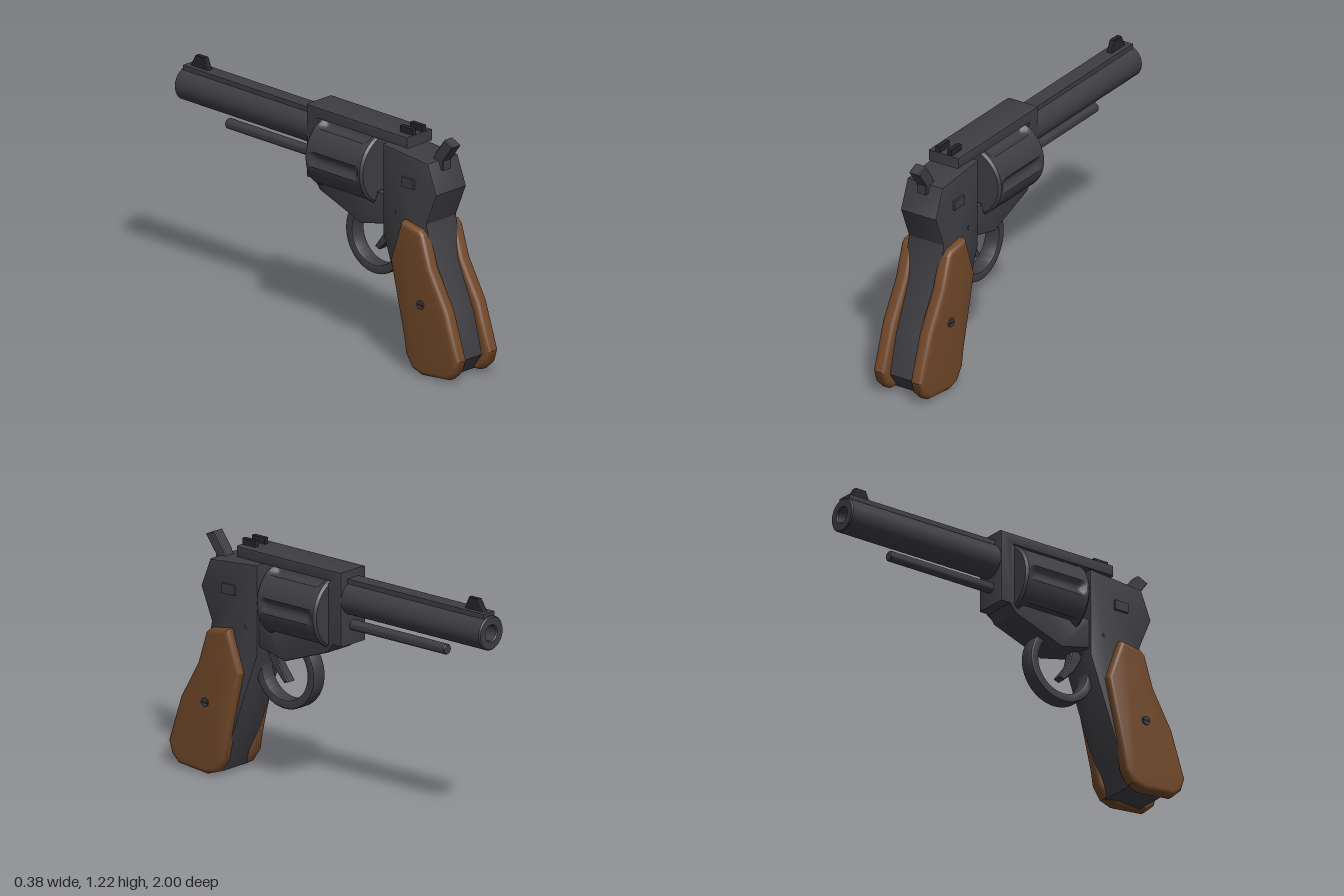
import * as THREE from 'three';
import { toCreasedNormals } from 'three/addons/utils/BufferGeometryUtils.js';

const metal = new THREE.MeshStandardMaterial({ color: 0x3e3d42 });
metal.name = 'gunmetal';
const wood = new THREE.MeshStandardMaterial({ color: 0x714829 });
wood.name = 'brown wood';
const dark = new THREE.MeshStandardMaterial({ color: 0x262628 });
dark.name = 'dark steel';

export function createModel() {
  const group = new THREE.Group();

  function add(name, geometry, material, x = 0, y = 0, z = 0) {
    const mesh = new THREE.Mesh(geometry, material);
    mesh.name = name;
    mesh.position.set(x, y, z);
    group.add(mesh);
    return mesh;
  }

  // Side profile in (z, y), extruded to a plate centred on x, with bevelled edges
  function plate(shape, halfWidth, bevel, segments = 2) {
    const g = new THREE.ExtrudeGeometry(shape, {
      depth: 2 * (halfWidth - bevel), bevelEnabled: bevel > 0, bevelThickness: bevel,
      bevelSize: bevel, bevelOffset: -bevel, bevelSegments: segments, curveSegments: 40,
    });
    g.translate(0, 0, bevel - halfWidth);
    g.rotateY(-Math.PI / 2);
    return toCreasedNormals(g, 0.55);
  }
  const outline = (pts) => new THREE.Shape(pts.map(([z, y]) => new THREE.Vector2(z, y)));

  // Turned part running from z = 0 towards -z
  function turned(pts, sides) {
    return new THREE.LatheGeometry(pts.map(([r, d]) => new THREE.Vector2(r, d)), sides).rotateX(-Math.PI / 2);
  }

  // Barrel with bore, top rib and ejector rod
  add('barrel', toCreasedNormals(turned([
    [0, 0.07], [0.087, 0.07], [0.087, 0.994], [0.081, 1], [0.044, 1], [0.039, 0.994], [0.039, 0.8], [0, 0.8],
  ], 48), 0.6), metal, 0, 1.048, 0);
  add('barrelRib', new THREE.BoxGeometry(0.08, 0.05, 0.9), metal, 0, 1.125, -0.535);
  add('ejectorRod', toCreasedNormals(turned([
    [0, 0.07], [0.027, 0.07], [0.027, 0.707], [0.023, 0.712], [0, 0.712],
  ], 24), 0.6), metal, 0, 0.907, 0);

  // Sights
  add('frontSight', plate(outline([
    [-0.835, 1.145], [-0.862, 1.21], [-0.925, 1.21], [-0.963, 1.145],
  ]), 0.014, 0.003, 1), dark);
  for (const s of [-1, 1]) {
    add('rearSight', new THREE.BoxGeometry(0.025, 0.04, 0.085), dark, s * 0.035, 1.202, 0.555);
  }

  // Frame around the cylinder: top strap, front post and lower bridge
  add('cylinderFrame', plate(outline([
    [0.6, 1.19], [0.6, 1.132], [-0.018, 1.132], [-0.018, 0.81], [0.38, 0.81], [0.395, 0.858],
    [0.46, 0.858], [0.46, 0.705], [0.283, 0.663], [0, 0.765], [-0.035, 0.81], [-0.09, 0.81], [-0.09, 1.19],
  ]), 0.09, 0.008), metal);

  // Fluted cylinder
  const length = 0.393;
  const profile = [[0, 0], [0.178, 0]];
  for (let i = 0; i <= 30; i++) profile.push([0.19, 0.012 + (length - 0.024) * i / 30]);
  profile.push([0.178, length], [0, length]);
  const drum = new THREE.LatheGeometry(profile.map(([r, d]) => new THREE.Vector2(r, d)), 120);
  const pos = drum.attributes.position;
  const pitch = Math.PI / 3;
  for (let i = 0; i < pos.count; i++) {
    const x = pos.getX(i), z = pos.getZ(i), d = pos.getY(i);
    if (Math.hypot(x, z) < 0.185) continue;
    const a = Math.atan2(x, z) - Math.PI / 2;
    const off = (a - pitch * Math.round(a / pitch)) / 0.2;
    const ends = THREE.MathUtils.smoothstep(Math.min(d, length - d), 0.02, 0.06);
    const k = 1 - 0.13 * ends * Math.max(0, 1 - off * off);
    pos.setX(i, x * k);
    pos.setZ(i, z * k);
  }
  drum.rotateX(-Math.PI / 2);
  add('cylinder', toCreasedNormals(drum, 0.5), metal, 0, 0.96, 0.385);

  // Receiver and grip core
  add('receiver', plate(outline([
    [0.449, 1.123], [0.449, 0.663], [0.626, 0.18], [0.69, 0.02], [0.89, 0.02], [0.955, 0.11],
    [0.9, 0.32], [0.79, 0.57], [0.749, 0.78], [0.818, 0.947], [0.759, 1.096],
  ]), 0.105, 0.008), metal);

  // Hammer and trigger
  add('hammer', plate(outline([
    [0.855, 1.187], [0.797, 1.213], [0.735, 1.13], [0.7, 1.05], [0.79, 1.05], [0.79, 1.1],
  ]), 0.03, 0.004, 1), metal);
  add('trigger', plate(outline([
    [0.46, 0.72], [0.4, 0.72], [0.375, 0.615], [0.315, 0.535], [0.345, 0.525], [0.41, 0.59], [0.46, 0.68],
  ]), 0.025, 0.004, 1), metal);

  // Trigger guard
  const ring = new THREE.Shape().absarc(0.326, 0.594, 0.194, 0, Math.PI * 2, false);
  ring.holes.push(new THREE.Path().absarc(0.326, 0.594, 0.149, 0, Math.PI * 2, true));
  add('triggerGuard', plate(ring, 0.042, 0.008), metal);

  // Grip panels, screws, side latches and pins on both sides
  const grip = plate(outline([
    [0.61, 0.772], [0.535, 0.555], [0.625, 0.18], [0.64, 0.09], [0.685, 0.025], [0.75, 0.003], [0.935, 0.022],
    [0.98, 0.065], [1, 0.13], [0.92, 0.37], [0.807, 0.567], [0.755, 0.73], [0.73, 0.752],
  ]), 0.038, 0.024, 5);
  const disc = (r, w) => toCreasedNormals(new THREE.CylinderGeometry(r, r, w, 24).rotateZ(Math.PI / 2), 0.6);
  for (const s of [-1, 1]) {
    add('gripPanel', grip, wood, s * 0.11, 0, 0);
    add('gripScrew', disc(0.023, 0.03), metal, s * 0.14, 0.373, 0.752);
    add('screwSlot', new THREE.BoxGeometry(0.004, 0.008, 0.036), dark, s * 0.1545, 0.373, 0.752);
    add('sideLatch', new THREE.BoxGeometry(0.03, 0.05, 0.08), metal, s * 0.103, 0.968, 0.63);
    add('framePin', disc(0.012, 0.01), metal, s * 0.103, 0.79, 0.53);
  }
  return group;
}
